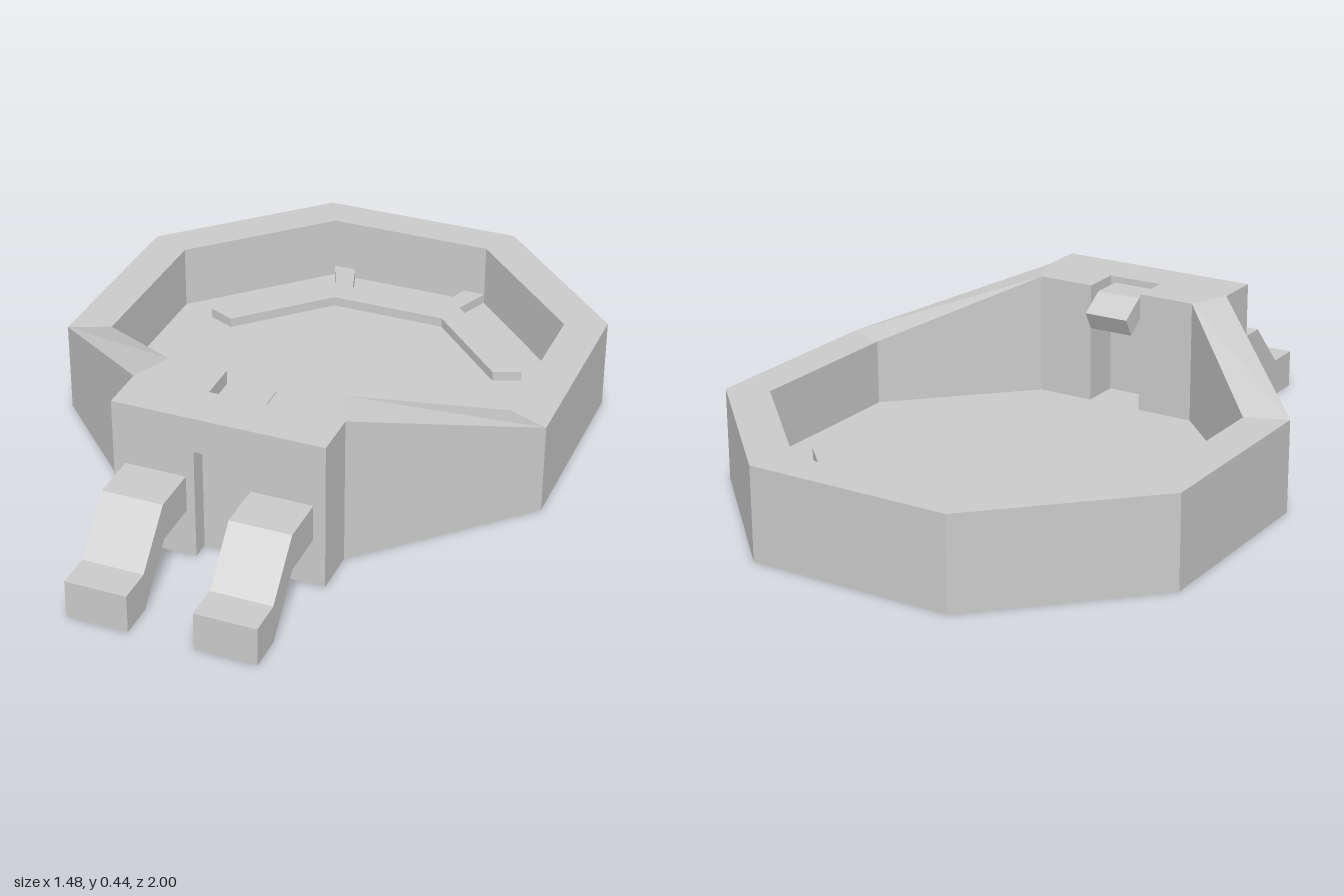
import * as THREE from 'three';

const material = new THREE.MeshStandardMaterial({ color: 0xcccccc, flatShading: true, side: THREE.DoubleSide });
const FLOOR = 0.08, BENCH = 0.11, LOW = 0.275, HIGH = 0.445;

function add(group, name, geometry) {
  const mesh = new THREE.Mesh(geometry, material);
  mesh.name = name;
  group.add(mesh);
  return mesh;
}

// Strip of quads between two [x, y, z] paths of equal length
function ribbon(lower, upper) {
  const p = [];
  for (let i = 0; i < lower.length - 1; i++) {
    const a = lower[i], b = lower[i + 1], c = upper[i + 1], d = upper[i];
    p.push(...a, ...b, ...d, ...b, ...c, ...d);
  }
  const g = new THREE.BufferGeometry();
  g.setAttribute('position', new THREE.Float32BufferAttribute(p, 3));
  g.computeVertexNormals();
  return g;
}

const atHeight = (path, y) => path.map((p) => [p[0], y, p[p.length - 1]]);
const mirrored = (path) => path.map(([x, z]) => [-x, z]).reverse();
const shapeOf = (pts) => new THREE.Shape(pts.map(([x, y]) => new THREE.Vector2(x, y)));

// Horizontal polygon from [x, z] points
function plate(points, y) {
  return new THREE.ShapeGeometry(shapeOf(points.map(([x, z]) => [x, -z])))
    .rotateX(-Math.PI / 2).translate(0, y, 0);
}

// Side profile in [z, y], extruded across x0..x1
function across(profile, x0, x1) {
  return new THREE.ExtrudeGeometry(shapeOf(profile.map(([z, y]) => [-z, y])), { depth: x1 - x0, bevelEnabled: false })
    .rotateY(Math.PI / 2).translate(x0, 0, 0);
}

// One half of the basin, with one foot; the other half mirrors it
function createHalf() {
  const half = new THREE.Group();
  const outer = [[0.31, HIGH, 0.62], [0.31, HIGH, 0.48], [0.74, LOW, 0.05], [0.74, LOW, -0.57], [0.31, LOW, -1], [0, LOW, -1]];
  const inner = [[0, HIGH, 0.48], [0.085, HIGH, 0.48], [0.085, HIGH, 0.36], [0.26, HIGH, 0.36],
    [0.62, LOW, 0], [0.62, LOW, -0.52], [0.255, LOW, -0.885], [0, LOW, -0.885]];
  add(half, 'outerWall', ribbon(atHeight(outer, 0), outer));
  add(half, 'innerWall', ribbon(inner, atHeight(inner, FLOOR)));
  add(half, 'rim', ribbon(outer.slice(1), inner.slice(3)));

  // Bent foot
  add(half, 'foot', across([[0.62, 0.255], [0.765, 0.255], [0.895, 0.115], [1, 0.115],
    [1, 0], [0.895, 0], [0.765, 0.145], [0.62, 0.145]], 0.095, 0.275));
  return half;
}

export function createModel() {
  const model = new THREE.Group();
  model.name = 'basin';

  const left = createHalf(), right = createHalf();
  left.name = 'leftHalf';
  right.name = 'rightHalf';
  right.scale.x = -1;
  model.add(left, right);

  // Flat top of the front block, notched for the spout
  const frontEdge = [[0.31, 0.62], [0.31, 0.48], [0.26, 0.36], [0.085, 0.36], [0.085, 0.48]];
  add(model, 'frontTop', plate([...frontEdge, ...mirrored(frontEdge)], HIGH));

  // Front panel with a shallow doorway niche
  const panel = [[0.31, 0], [0.31, HIGH], [-0.31, HIGH], [-0.31, 0], [-0.07, 0], [-0.07, 0.34], [0.07, 0.34], [0.07, 0]];
  add(model, 'frontPanel', new THREE.ShapeGeometry(shapeOf(panel)).translate(0, 0, 0.62));
  const niche = [[-0.07, 0.62], [-0.07, 0.565], [0.07, 0.565], [0.07, 0.62]];
  add(model, 'nicheWalls', ribbon(atHeight(niche, 0), atHeight(niche, 0.34)));
  add(model, 'nicheTop', plate(niche, 0.34));

  // Spout bending down over the pool
  add(model, 'spout', across([[0.48, 0.425], [0.38, 0.425], [0.305, 0.375], [0.335, 0.32],
    [0.39, 0.36], [0.48, 0.36]], -0.07, 0.07));

  // Raised bench with two spurs to the back wall, open underneath
  const benchSide = [[0.255, -0.885], [0.21, -0.775], [0.51, -0.475], [0.43, -0.44], [0.18, -0.69]];
  const benchFront = [...benchSide, ...mirrored(benchSide)];
  const benchBack = [[-0.185, -0.885], [-0.15, -0.775], [0.15, -0.775], [0.185, -0.885]];
  add(model, 'benchTop', plate([...benchFront, ...benchBack], BENCH));
  for (const path of [benchFront, benchBack]) {
    add(model, 'benchSide', ribbon(atHeight(path, BENCH), atHeight(path, FLOOR)));
  }

  // Pool floor around the bench
  const floorSide = [[0.085, 0.48], [0.085, 0.36], [0.26, 0.36], [0.62, 0], [0.62, -0.52]];
  add(model, 'floor', plate([...floorSide, ...benchFront, ...mirrored(floorSide)], FLOOR));
  add(model, 'floorBehindBench', plate(benchBack, FLOOR));

  return model;
}
